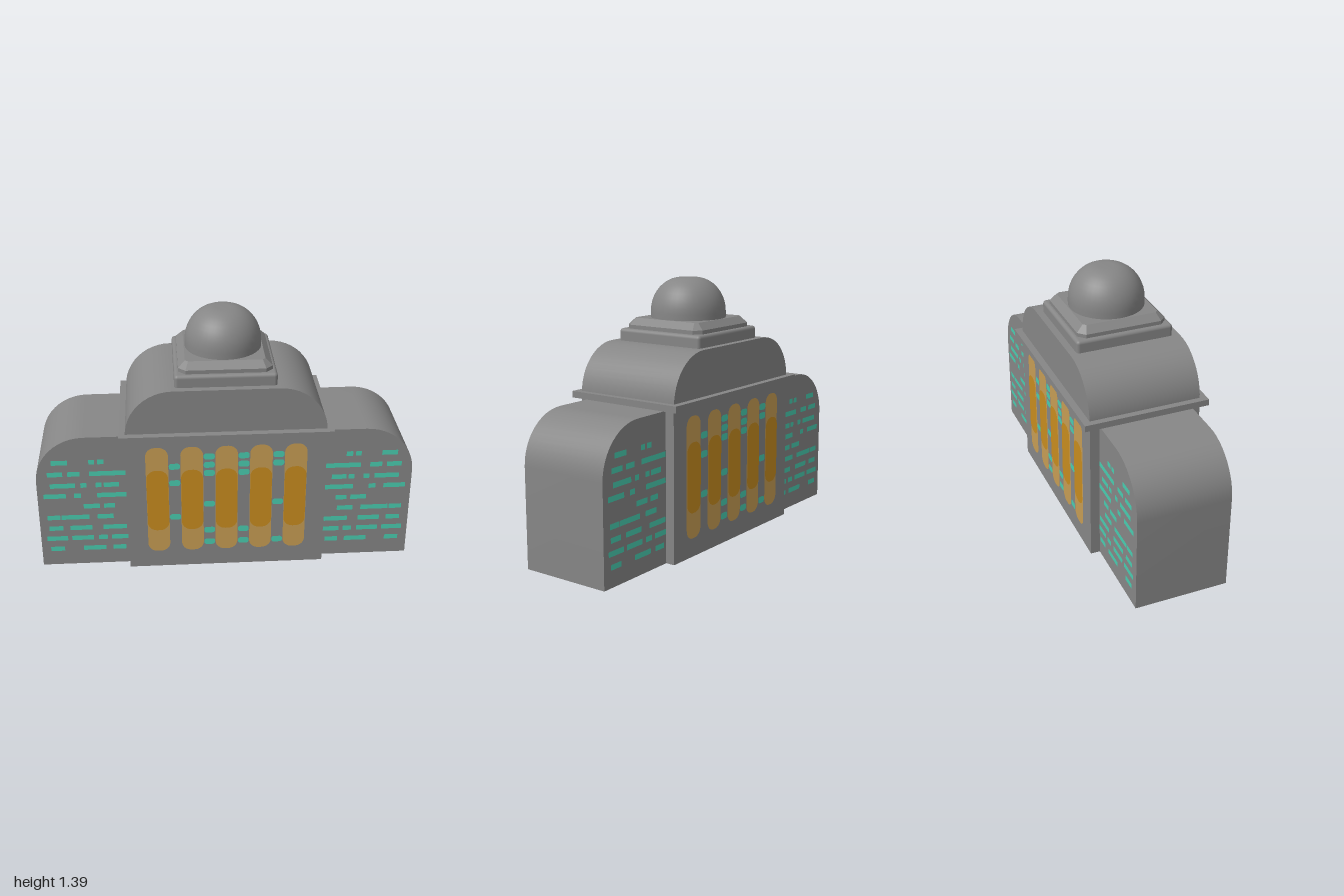
import * as THREE from 'three';
import { toCreasedNormals } from 'three/addons/utils/BufferGeometryUtils.js';
import { RoundedBoxGeometry } from 'three/addons/geometries/RoundedBoxGeometry.js';

const material = (name, color) => {
  const m = new THREE.MeshStandardMaterial({ color });
  m.name = name;
  return m;
};

// Upright rectangle with rounded corners, lower ones optionally square
function roundedRect(cx, y0, y1, w, r, rBottom = r) {
  const a = cx - w / 2, b = cx + w / 2, s = new THREE.Shape();
  s.moveTo(a + rBottom, y0);
  s.lineTo(b - rBottom, y0);
  if (rBottom) s.absarc(b - rBottom, y0 + rBottom, rBottom, -Math.PI / 2, 0);
  s.lineTo(b, y1 - r);
  s.absarc(b - r, y1 - r, r, 0, Math.PI / 2);
  s.lineTo(a + r, y1);
  s.absarc(a + r, y1 - r, r, Math.PI / 2, Math.PI);
  s.lineTo(a, y0 + rBottom);
  if (rBottom) s.absarc(a + rBottom, y0 + rBottom, rBottom, Math.PI, Math.PI * 1.5);
  return s;
}

export function createModel() {
  const grey = material('stone grey', 0x868686);
  const gold = material('pale gold', 0xc79d54);
  const amber = material('deep amber', 0xc88c1f);
  const teal = material('teal light', 0x4accb0);

  const model = new THREE.Group();
  model.name = 'domedBuilding';
  const add = (name, geometry, mat, parent = model, y = 0, z = 0) => {
    const mesh = new THREE.Mesh(geometry, mat);
    mesh.name = name;
    mesh.position.set(0, y, z);
    parent.add(mesh);
    return mesh;
  };

  // Block with rounded upper edges running front to back
  const roundedBlock = (name, w, y0, y1, depth, r) => {
    const g = new THREE.ExtrudeGeometry(roundedRect(0, y0, y1, w, r, 0),
      { depth, bevelEnabled: false, curveSegments: 6 });
    g.translate(0, 0, -depth / 2);
    add(name, toCreasedNormals(g, 0.6), grey);
  };

  // Building masses
  roundedBlock('sideWings', 2, 0, 0.785, 0.5, 0.26);
  add('mainHall', new THREE.BoxGeometry(1.05, 0.8, 0.6), grey, model, 0.4);
  add('cornice', new THREE.BoxGeometry(1.11, 0.034, 0.674), grey, model, 0.805);
  roundedBlock('vaultedRoof', 1.045, 0.81, 1.06, 0.6, 0.248);

  // Stepped plinth under the dome
  add('lowerPlinth', new RoundedBoxGeometry(0.526, 0.085, 0.526, 3, 0.018), grey, model, 1.0825);
  const h = 0.205, c = 0.19;
  const octagon = new THREE.Shape([[h, -c], [h, c], [c, h], [-c, h], [-h, c], [-h, -c], [-c, -h], [c, -h]]
    .map(([x, y]) => new THREE.Vector2(x, y)));
  const plinth = new THREE.ExtrudeGeometry(octagon,
    { depth: 0.025, bevelThickness: 0.035, bevelSize: 0.036, bevelSegments: 1 });
  plinth.rotateX(-Math.PI / 2);
  add('upperPlinth', plinth, grey, model, 1.12);

  // Dome with a slightly flattened crown
  const profile = [new THREE.Vector2(0.2, 1.17)];
  for (let i = 0; i <= 10; i++) {
    const t = (i / 10) * Math.PI / 2;
    profile.push(new THREE.Vector2(0.04 + 0.16 * Math.cos(t), 1.21 + 0.18 * Math.sin(t)));
  }
  profile.push(new THREE.Vector2(0, 1.39));
  add('dome', new THREE.LatheGeometry(profile, 40), grey);

  // Lit strips on the wings: each row is [height, start, end, start, end, ...]
  const wingRows = [
    [0.64, 0.56, 0.64, 0.67, 0.72, 0.74, 0.77].slice(0, 1).concat([0.64, 0.675, 0.69, 0.72, 0.83, 0.915]),
    [0.57, 0.53, 0.72, 0.77, 0.835, 0.86, 0.94],
    [0.5, 0.567, 0.647, 0.658, 0.69, 0.738, 0.77, 0.797, 0.93],
    [0.437, 0.53, 0.685, 0.77, 0.807, 0.85, 0.968],
    [0.37, 0.594, 0.653, 0.674, 0.76],
    [0.303, 0.604, 0.69, 0.733, 0.883, 0.888, 0.957],
    [0.235, 0.535, 0.663, 0.722, 0.84, 0.877, 0.952],
    [0.17, 0.53, 0.62, 0.642, 0.69, 0.717, 0.834, 0.856, 0.968],
    [0.103, 0.545, 0.615, 0.653, 0.775, 0.877, 0.952],
  ];
  // Lit dashes between the tall windows, one list of heights per gap
  const gapDashes = [
    [0.625, 0.525, 0.315],
    [0.68, 0.63, 0.58, 0.39, 0.225, 0.15],
    [0.68, 0.63, 0.58, 0.225, 0.15],
    [0.68, 0.63, 0.39, 0.15],
  ];

  const wingShapes = [], dashShapes = [], paneShapes = [], glowShapes = [];
  for (const [y, ...ends] of wingRows) {
    for (let i = 0; i < ends.length; i += 2) {
      for (const side of [-1, 1]) {
        wingShapes.push(roundedRect(side * (ends[i] + ends[i + 1]) / 2,
          y - 0.014, y + 0.014, ends[i + 1] - ends[i], 0.003));
      }
    }
  }
  gapDashes.forEach((heights, i) => heights.forEach((y) =>
    dashShapes.push(roundedRect(-0.273 + i * 0.182, y - 0.018, y + 0.018, 0.058, 0.014))));
  for (let i = -2; i <= 2; i++) {
    paneShapes.push(roundedRect(i * 0.182, 0.1, 0.74, 0.118, 0.05));
    glowShapes.push(roundedRect(i * 0.182, 0.235, 0.605, 0.114, 0.05));
  }

  // The same face decoration on front and back, turned half way round
  for (const [name, angle] of [['frontFacade', 0], ['backFacade', Math.PI]]) {
    const facade = new THREE.Group();
    facade.name = name;
    facade.rotation.y = angle;
    model.add(facade);
    const plates = (label, shapes, mat, z) =>
      add(label, new THREE.ShapeGeometry(shapes, 5), mat, facade, 0, z);
    plates('wingLights', wingShapes, teal, 0.253);
    plates('hallLights', dashShapes, teal, 0.303);
    plates('tallWindows', paneShapes, gold, 0.303);
    plates('windowGlow', glowShapes, amber, 0.306);
  }
  return model;
}
